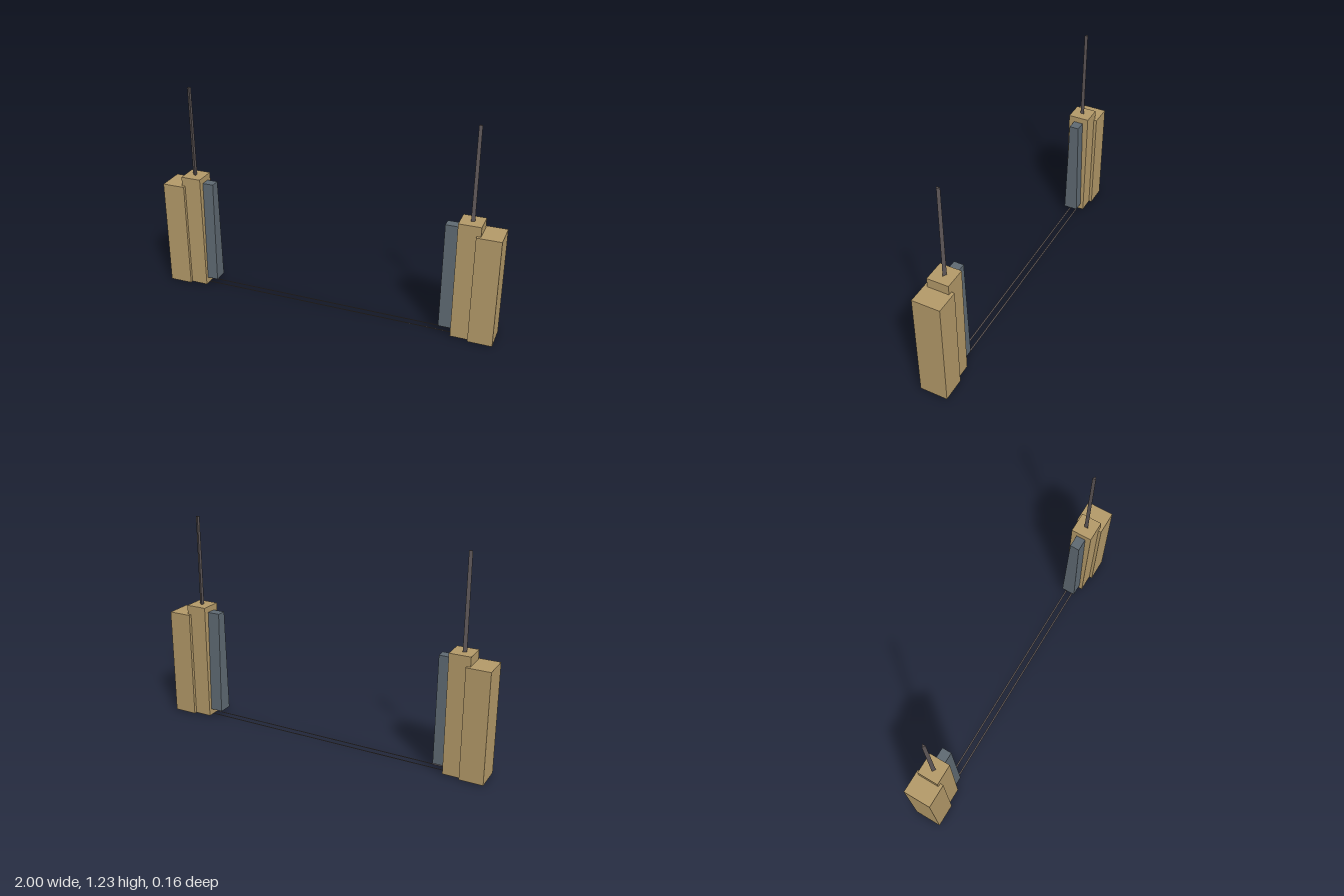
import * as THREE from 'three';

const mat = (name, color, extra = {}) => {
  const m = new THREE.MeshStandardMaterial({ color, flatShading: true, ...extra });
  m.name = name;
  return m;
};

export function createModel() {
  const tan = mat('tan block', 0xb49a69);
  const slate = mat('slate panel', 0x5f6a73);
  const steel = mat('dark steel', 0x5c5556, { side: THREE.DoubleSide });

  const model = new THREE.Group();
  model.name = 'pairedTowers';

  const add = (parent, name, geometry, material) => {
    const m = new THREE.Mesh(geometry, material);
    m.name = name;
    parent.add(m);
    return m;
  };

  // Box given by its limits in x and y and its half depth in z
  const block = (x0, x1, y0, y1, halfZ) =>
    new THREE.BoxGeometry(Math.abs(x1 - x0), y1 - y0, halfZ * 2)
      .translate((x0 + x1) / 2, (y0 + y1) / 2, 0);

  // One tower per side; s is the direction away from the middle
  const tower = (name, s, d) => {
    const g = new THREE.Group();
    g.name = name;
    add(g, 'outerBlock', block(s, s * d.outer, 0.002, 0.645, 0.08), tan);
    add(g, 'innerBlock', block(s * 0.885, s * d.inner, 0.002, 0.7, 0.062), tan);

    // Panel narrows towards the top
    const panel = block(s * 0.78, s * d.panel, 0.04, 0.665, 0.042);
    const p = panel.attributes.position;
    for (let i = 0; i < p.count; i++) {
      if (p.getY(i) > 0.3) p.setZ(i, p.getZ(i) * 0.67);
    }
    panel.computeVertexNormals();
    add(g, 'taperedPanel', panel, slate);

    // Three-sided mast with one edge facing outwards
    const mast = new THREE.CylinderGeometry(0.0115, 0.0155, 1.232, 3)
      .rotateY(s * Math.PI / 2)
      .translate(s * d.mast, 0.616, 0);
    add(g, 'mast', mast, steel);
    model.add(g);
  };
  tower('leftTower', 1, { outer: 0.862, inner: 0.76, panel: 0.685, mast: 0.823 });
  tower('rightTower', -1, { outer: 0.865, inner: 0.765, panel: 0.7, mast: 0.828 });

  // Pair of flat ground rails joining the towers
  for (const z of [-0.02, 0.02]) {
    const rail = new THREE.PlaneGeometry(1.65, 0.01)
      .rotateX(-Math.PI / 2)
      .translate(0, 0.001, z);
    add(model, z > 0 ? 'frontRail' : 'backRail', rail, steel);
  }
  return model;
}
